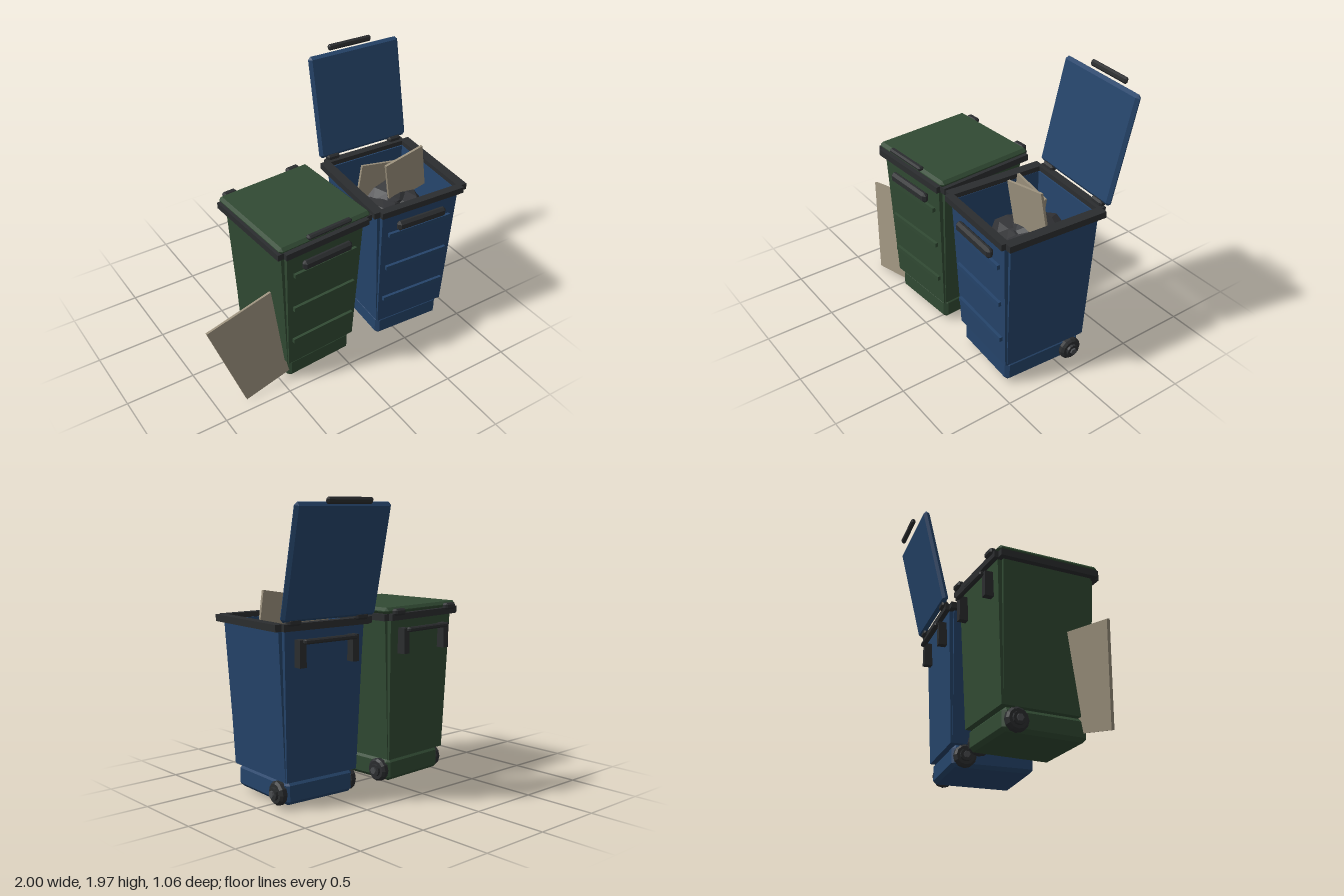
import * as THREE from 'three';
import { ConvexGeometry } from 'three/addons/geometries/ConvexGeometry.js';

const mat = (color) => new THREE.MeshStandardMaterial({ color, flatShading: true });
const GREEN = mat(0x314a33), BLUE = mat(0x25446a), DARK = mat(0x2b2d2f), CARD = mat(0x9a907c), BAG = mat(0x333437);

function add(parent, name, geometry, material, x = 0, y = 0, z = 0) {
  const mesh = new THREE.Mesh(geometry, material);
  mesh.name = name;
  mesh.position.set(x, y, z);
  parent.add(mesh);
  return mesh;
}

const box = (w, h, d) => new THREE.BoxGeometry(w, h, d);

// Box with all edges chamfered by c
function chamferBox(w, h, d, c) {
  const pts = [];
  for (const sx of [-1, 1]) for (const sy of [-1, 1]) for (const sz of [-1, 1]) {
    for (let k = 0; k < 3; k++) {
      const inset = [c, c, c];
      inset[k] = 0;
      pts.push(new THREE.Vector3(sx * (w / 2 - inset[0]), sy * (h / 2 - inset[1]), sz * (d / 2 - inset[2])));
    }
  }
  return new ConvexGeometry(pts);
}

// Outward-leaning wall that widens towards the top
function wallPanel(halfBottom, halfTop, offBottom, offTop) {
  const pts = [];
  for (const [y, half, off] of [[0.185, halfBottom, offBottom], [1.17, halfTop, offTop]])
    for (const s of [-1, 1]) for (const t of [0, 0.03]) pts.push(new THREE.Vector3(s * half, y, off - t));
  return new ConvexGeometry(pts);
}

// Lid hinged along its back edge (z = 0), with its grip bar
function makeLid(color) {
  const lid = new THREE.Group();
  lid.name = 'lid';
  add(lid, 'lidPanel', chamferBox(0.725, 0.046, 0.74, 0.02), color, 0, 0.023, 0.37);
  add(lid, 'lidGrip', chamferBox(0.345, 0.032, 0.042, 0.011), DARK, 0, 0.072, 0.76);
  return lid;
}

function makeWheel(side) {
  const wheel = new THREE.Group();
  wheel.name = 'wheel';
  const profile = [[0, -0.03], [0.065, -0.03], [0.08, -0.015], [0.08, 0.015], [0.065, 0.03], [0, 0.03]];
  add(wheel, 'tyre', new THREE.LatheGeometry(profile.map(([r, y]) => new THREE.Vector2(r, y)), 12), DARK);
  add(wheel, 'hub', new THREE.CylinderGeometry(0.042, 0.045, 0.02, 12), DARK, 0, 0.036, 0);
  add(wheel, 'axleCap', new THREE.CylinderGeometry(0.024, 0.024, 0.025, 6), mat(0x4a4c4f), 0, 0.046, 0);
  wheel.rotation.z = -side * Math.PI / 2;
  wheel.position.set(side * 0.273, 0.1, -0.21);
  return wheel;
}

function makeBin(name, color, lidAngle) {
  const bin = new THREE.Group();
  bin.name = name;

  // Base and floor
  add(bin, 'base', chamferBox(0.53, 0.155, 0.59, 0.025), color, 0, 0.105, 0);
  add(bin, 'floor', box(0.53, 0.025, 0.6), color, 0, 0.198, 0);

  // Four walls, open at the top
  for (let k = 0; k < 4; k++) {
    const geometry = k % 2 ? wallPanel(0.3, 0.325, 0.278, 0.332) : wallPanel(0.275, 0.306, 0.313, 0.355);
    add(bin, 'wall', geometry, color).rotation.y = k * Math.PI / 2;
  }

  // Rim bars
  for (const s of [-1, 1]) {
    add(bin, 'rimSide', box(0.07, 0.045, 0.72), DARK, s * 0.34, 1.182, 0);
    add(bin, 'rimEnd', box(0.66, 0.045, 0.055), DARK, 0, 1.182, s * 0.362);
  }

  // Front ribs and front handle
  for (const y of [0.4, 0.69, 0.98])
    add(bin, 'rib', box(0.5, 0.032, 0.035), color, 0, y, 0.313 + (y - 0.185) * 0.043 + 0.004);
  add(bin, 'frontHandle', chamferBox(0.39, 0.072, 0.05, 0.018), DARK, 0, 1.05, 0.375);

  // Back handle, hinges, wheels
  for (const s of [-1, 1]) {
    add(bin, 'handleBracket', box(0.05, 0.175, 0.065), DARK, s * 0.205, 1.015, -0.375);
    add(bin, 'hinge', chamferBox(0.1, 0.045, 0.05, 0.012), DARK, s * 0.26, 1.215, -0.385);
    bin.add(makeWheel(s));
  }
  add(bin, 'backHandle', chamferBox(0.41, 0.032, 0.036, 0.009), DARK, 0, 1.092, -0.417);
  const axle = add(bin, 'axle', new THREE.CylinderGeometry(0.02, 0.02, 0.52, 8), DARK, 0, 0.1, -0.21);
  axle.rotation.z = Math.PI / 2;

  const lid = makeLid(color);
  lid.position.set(0, lidAngle ? 1.225 : 1.2, -0.37);
  lid.rotation.x = -lidAngle;
  bin.add(lid);
  return bin;
}

// Crumpled bag: icosphere with radii varied by a smooth rule
function bagGeometry(radius, seed) {
  const g = new THREE.IcosahedronGeometry(radius, 1);
  const p = g.attributes.position, v = new THREE.Vector3();
  for (let i = 0; i < p.count; i++) {
    v.fromBufferAttribute(p, i);
    const n = Math.sin(v.x * 37 + seed) * Math.cos(v.y * 31 + seed * 2) + Math.sin(v.z * 41 + seed * 3);
    v.multiplyScalar(1 + 0.09 * n);
    p.setXYZ(i, v.x, v.y * 0.85, v.z);
  }
  g.computeVertexNormals();
  return g;
}

// Flat sheet spanned by two edge vectors from a corner
function sheet(corner, u, v, thickness) {
  const o = new THREE.Vector3(...corner), a = new THREE.Vector3(...u), b = new THREE.Vector3(...v);
  const n = a.clone().cross(b).normalize().multiplyScalar(-thickness);
  const pts = [];
  for (const i of [0, 1]) for (const j of [0, 1]) for (const k of [0, 1])
    pts.push(o.clone().addScaledVector(a, i).addScaledVector(b, j).addScaledVector(n, k));
  return new ConvexGeometry(pts);
}

export function createModel() {
  const model = new THREE.Group();
  model.name = 'wheeledBins';

  const green = makeBin('closedBin', GREEN, 0);
  green.position.set(-0.205, 0, 0.1);
  green.rotation.y = 0.06;
  const blue = makeBin('openBin', BLUE, Math.PI / 2 + 0.235);
  blue.position.set(0.605, 0, 0.105);
  blue.rotation.y = -0.06;
  model.add(green, blue);

  // Rubbish in the open bin
  const bags = [[0.62, 0.93, 0.02, 0.19], [0.52, 0.9, 0.12, 0.16], [0.7, 0.9, 0.13, 0.16]];
  bags.forEach(([x, y, z, r], i) => add(model, 'rubbishBag', bagGeometry(r, i + 1), BAG, x, y, z));
  add(model, 'cardboardInBin', sheet([0.565, 0.98, 0.145], [0.32, 0.055, -0.012], [-0.065, 0.345, 0.02], 0.018), CARD);
  add(model, 'cardboardInBin', sheet([0.365, 0.96, 0.015], [0.285, -0.055, 0], [0.045, 0.32, 0], 0.018), CARD);

  // Board leaning beside the closed bin
  add(model, 'leaningBoard', sheet([-0.79, 0.005, 0.41], [0.525, 0.125, -0.02], [-0.21, 0.62, -0.11], 0.02), CARD);
  return model;
}
